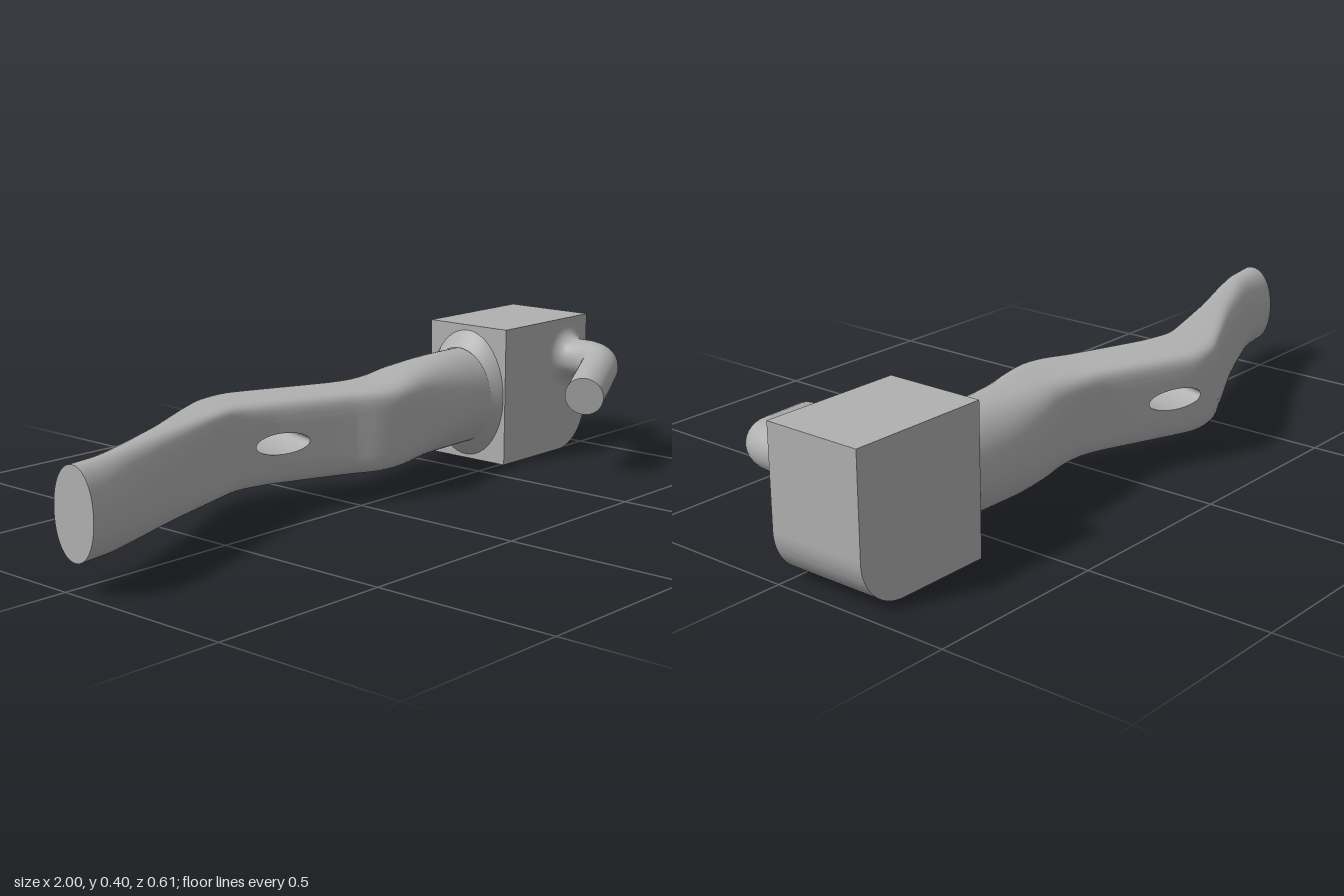
import * as THREE from 'three';
import { mergeVertices, toCreasedNormals } from 'three/addons/utils/BufferGeometryUtils.js';

// Body stations: x, back z, front z, bottom y, top y, squareness (2 = ellipse)
const STATIONS = [
  [-1.0, -0.03, 0.108, 0.076, 0.304, 2.1],
  [-0.9, -0.045, 0.088, 0.076, 0.304, 2.2],
  [-0.8, -0.078, 0.05, 0.076, 0.304, 2.5],
  [-0.6, -0.16, -0.03, 0.076, 0.304, 3.5],
  [-0.4, -0.256, -0.1, 0.076, 0.304, 6],
  [-0.32, -0.295, -0.115, 0.076, 0.304, 6],
  [-0.24, -0.311, -0.1, 0.076, 0.304, 6],
  [-0.2, -0.304, -0.088, 0.076, 0.304, 6],
  [0.0, -0.225, -0.014, 0.076, 0.304, 6],
  [0.06, -0.204, 0.016, 0.076, 0.304, 6],
  [0.12, -0.197, 0.032, 0.075, 0.305, 5],
  [0.2, -0.203, 0.022, 0.071, 0.309, 4],
  [0.3, -0.23, 0, 0.064, 0.317, 3],
  [0.4, -0.246, -0.011, 0.058, 0.324, 2.4],
  [0.5, -0.25, -0.015, 0.055, 0.329, 2.1],
  [0.62, -0.25, -0.015, 0.055, 0.33, 2],
];

// Smooth interpolation of the stations, giving centre, half sizes and squareness
function section(x) {
  const S = STATIONS, last = S.length - 1;
  let i = 0;
  while (i < last - 1 && x > S[i + 1][0]) i++;
  const d = S[i + 1][0] - S[i][0], t = (x - S[i][0]) / d;
  const slope = (k, c) => {
    const a = S[Math.max(0, k - 1)], b = S[Math.min(last, k + 1)];
    return (b[c] - a[c]) / (b[0] - a[0]) * d;
  };
  const at = c => (2 * t ** 3 - 3 * t * t + 1) * S[i][c] + (t ** 3 - 2 * t * t + t) * slope(i, c)
    + (3 * t * t - 2 * t ** 3) * S[i + 1][c] + (t ** 3 - t * t) * slope(i + 1, c);
  const [zb, zf, yb, yt, n] = [1, 2, 3, 4, 5].map(at);
  return { cz: (zb + zf) / 2, w: (zf - zb) / 2, cy: (yb + yt) / 2, h: (yt - yb) / 2, n };
}

const power = (v, e) => (Math.abs(v) < 1e-9 ? 0 : Math.sign(v) * Math.abs(v) ** e);

// Point on the body skin at x and angle a
function skin(x, a) {
  const s = section(x);
  return [x, s.cy + s.h * power(Math.sin(a), 2 / s.n), s.cz + s.w * power(Math.cos(a), 2 / s.n)];
}

// Point on the front (side 1) or back (side -1) wall of the body at x, y
function wall(x, y, side) {
  const s = section(x), v = Math.abs(y - s.cy) / s.h;
  return [x, y, s.cz + side * s.w * (1 - v ** s.n) ** (1 / s.n)];
}

// Smooth surface from a grid of points, optionally leaving cells out
function grid(nu, nv, point, skip = () => false) {
  const pos = [], idx = [];
  for (let i = 0; i <= nu; i++) for (let k = 0; k <= nv; k++) pos.push(...point(i, k));
  for (let i = 0; i < nu; i++) for (let k = 0; k < nv; k++) {
    if (skip(i, k)) continue;
    const a = i * (nv + 1) + k, b = a + nv + 1;
    idx.push(a, b, b + 1, a, b + 1, a + 1);
  }
  let g = new THREE.BufferGeometry();
  g.setAttribute('position', new THREE.Float32BufferAttribute(pos, 3));
  g.setIndex(idx);
  g = mergeVertices(g, 1e-5);
  g.computeVertexNormals();
  return g;
}

export function createModel() {
  const group = new THREE.Group();
  const grey = new THREE.MeshStandardMaterial({ color: 0xb0b0b0 });
  const add = (name, geometry) => {
    const mesh = new THREE.Mesh(geometry, grey);
    mesh.name = name;
    group.add(mesh);
    return mesh;
  };
  const TAU = Math.PI * 2;

  // Bent body, with openings left in both walls for the slot
  const SEG = 48, STEP = 0.02, X0 = -0.36, X1 = 0;
  const i0 = Math.round((X0 + 1) / STEP), i1 = Math.round((X1 + 1) / STEP);
  const open = k => [0, 47, 23, 24].includes(k);
  add('body', grid(81, SEG, (i, k) => skin(-1 + i * STEP, k / SEG * TAU),
    (i, k) => i >= i0 && i < i1 && open(k)));

  // Flat end of the body
  const tip = section(-1);
  add('bodyEnd', grid(1, SEG, (i, k) => (i ? [-1, tip.cy, tip.cz] : skin(-1, -k / SEG * TAU))).toNonIndexed())
    .geometry.computeVertexNormals();

  // Walls around the slot, which runs square to the slanted body
  const RING = 96;
  const rim = (a, side) => wall((side > 0 ? -0.205 : -0.147) + 0.075 * Math.cos(a), 0.19 + 0.028 * Math.sin(a), side);
  for (const side of [1, -1]) {
    add(side > 0 ? 'frontSlotWall' : 'backSlotWall', grid(10, RING, (i, k) => {
      const a = side * k / RING * TAU, t = i / 10;
      const m = Math.max(Math.abs(Math.cos(a)), Math.abs(Math.sin(a)));
      const x = (X0 + X1) / 2 + (X1 - X0) / 2 * Math.cos(a) / m;
      const s = section(x);
      const y = s.cy + s.h * Math.sin(TAU / SEG) ** (2 / s.n) * Math.sin(a) / m;
      const r = rim(a, side);
      return wall(r[0] + (x - r[0]) * t, r[1] + (y - r[1]) * t, side);
    }));
  }
  add('slotLining', grid(1, RING, (i, k) => rim(k / RING * TAU, i ? 1 : -1)));

  // Flared collar where the body meets the block
  const FLARE = [[0.565, 0.118, 0.138], [0.575, 0.12, 0.146], [0.59, 0.128, 0.168], [0.61, 0.136, 0.19]];
  add('collar', grid(3, SEG, (i, k) => {
    const [x, w, h] = FLARE[i], a = k / SEG * TAU;
    return [x, 0.195 + h * Math.sin(a), -0.13 + w * Math.cos(a)];
  }));

  // End block with one rounded lower edge
  const B = 0.395, R = 0.13;
  const shape = new THREE.Shape();
  shape.moveTo(0.605, 0);
  shape.lineTo(1 - R, 0);
  shape.absarc(1 - R, R, R, -Math.PI / 2, 0, false);
  shape.lineTo(1, B);
  shape.lineTo(0.605, B);
  shape.closePath();
  const block = new THREE.ExtrudeGeometry(shape, { depth: 0.276, bevelEnabled: false, curveSegments: 20 });
  block.translate(0, 0, -0.266);
  add('block', toCreasedNormals(block, 0.5));

  // Bent side pipe on the front of the block
  const V = (x, y, z) => new THREE.Vector3(x, y, z);
  const corner = V(0.905, 0.28, 0.14), end = V(0.652, 0.229, 0.252);
  const dir = end.clone().sub(corner).normalize();
  const bendIn = V(0.905, 0.28, 0.065), bendOut = corner.clone().addScaledVector(dir, 0.075);
  const path = new THREE.CurvePath();
  path.add(new THREE.LineCurve3(V(0.905, 0.28, -0.02), bendIn));
  path.add(new THREE.QuadraticBezierCurve3(bendIn, corner, bendOut));
  path.add(new THREE.LineCurve3(bendOut, end));
  add('sidePipe', new THREE.TubeGeometry(path, 60, 0.055, 32));
  const cap = add('sidePipeEnd', new THREE.CircleGeometry(0.055, 32));
  cap.position.copy(end);
  cap.quaternion.setFromUnitVectors(V(0, 0, 1), dir);

  // Fillet at the foot of the side pipe
  const profile = [];
  for (let i = 0; i <= 10; i++) {
    const a = i / 10 * Math.PI / 2;
    profile.push(new THREE.Vector2(0.095 - 0.04 * Math.sin(a), 0.04 - 0.04 * Math.cos(a)));
  }
  const fillet = add('sidePipeFillet', new THREE.LatheGeometry(profile, 40));
  fillet.rotation.x = Math.PI / 2;
  fillet.position.set(0.905, 0.28, 0.01);

  return group;
}
